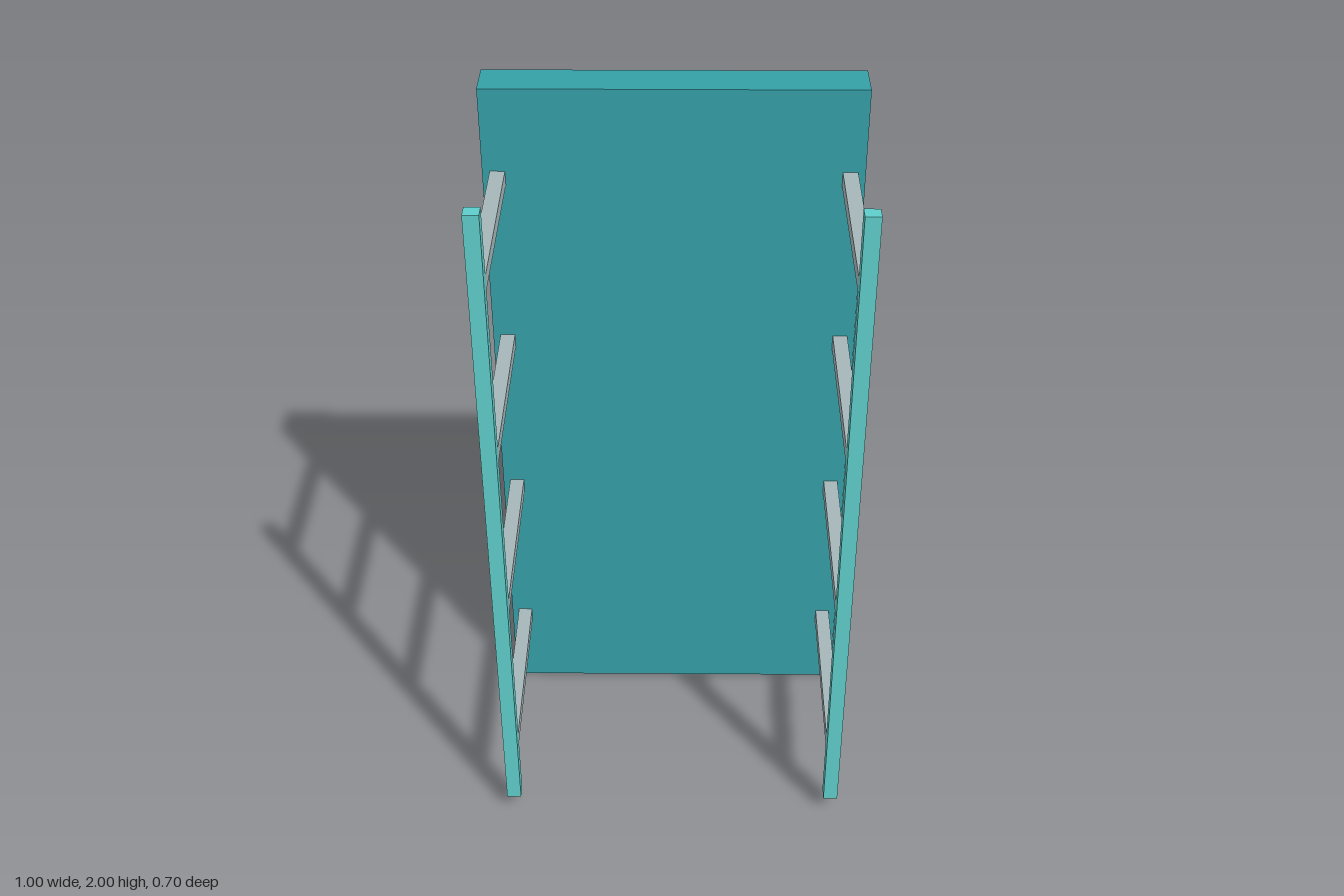
import * as THREE from 'three';

const material = (name, color) => {
  const m = new THREE.MeshStandardMaterial({ color });
  m.name = name;
  return m;
};

// Box given by its extents along each axis
function box(name, mat, [x0, x1], [y0, y1], [z0, z1]) {
  const mesh = new THREE.Mesh(new THREE.BoxGeometry(x1 - x0, y1 - y0, z1 - z0), mat);
  mesh.position.set((x0 + x1) / 2, (y0 + y1) / 2, (z0 + z1) / 2);
  mesh.name = name;
  return mesh;
}

export function createModel() {
  const teal = material('teal', 0x359fa6);
  const aqua = material('aqua', 0x5ecdcb);
  const grey = material('grey', 0xa5b5b8);

  const model = new THREE.Group();
  model.name = 'panelWithSideRails';

  // Upright back panel
  model.add(box('backPanel', teal, [-0.5, 0.5], [0, 2], [-0.35, -0.23]));

  // A ladder-like rail on each side: front post joined to the panel by four rungs
  for (const [name, x] of [['left', 0.46], ['right', -0.46]]) {
    const rail = new THREE.Group();
    rail.name = name + 'Rail';
    const width = [x - 0.02, x + 0.02];
    rail.add(box('post', aqua, width, [0.05, 1.95], [0.31, 0.35]));
    for (let i = 0; i < 4; i++) {
      const y = 0.25 + i * 0.5;
      rail.add(box('rung' + (i + 1), grey, width, [y - 0.02, y + 0.02], [-0.23, 0.31]));
    }
    model.add(rail);
  }
  return model;
}
